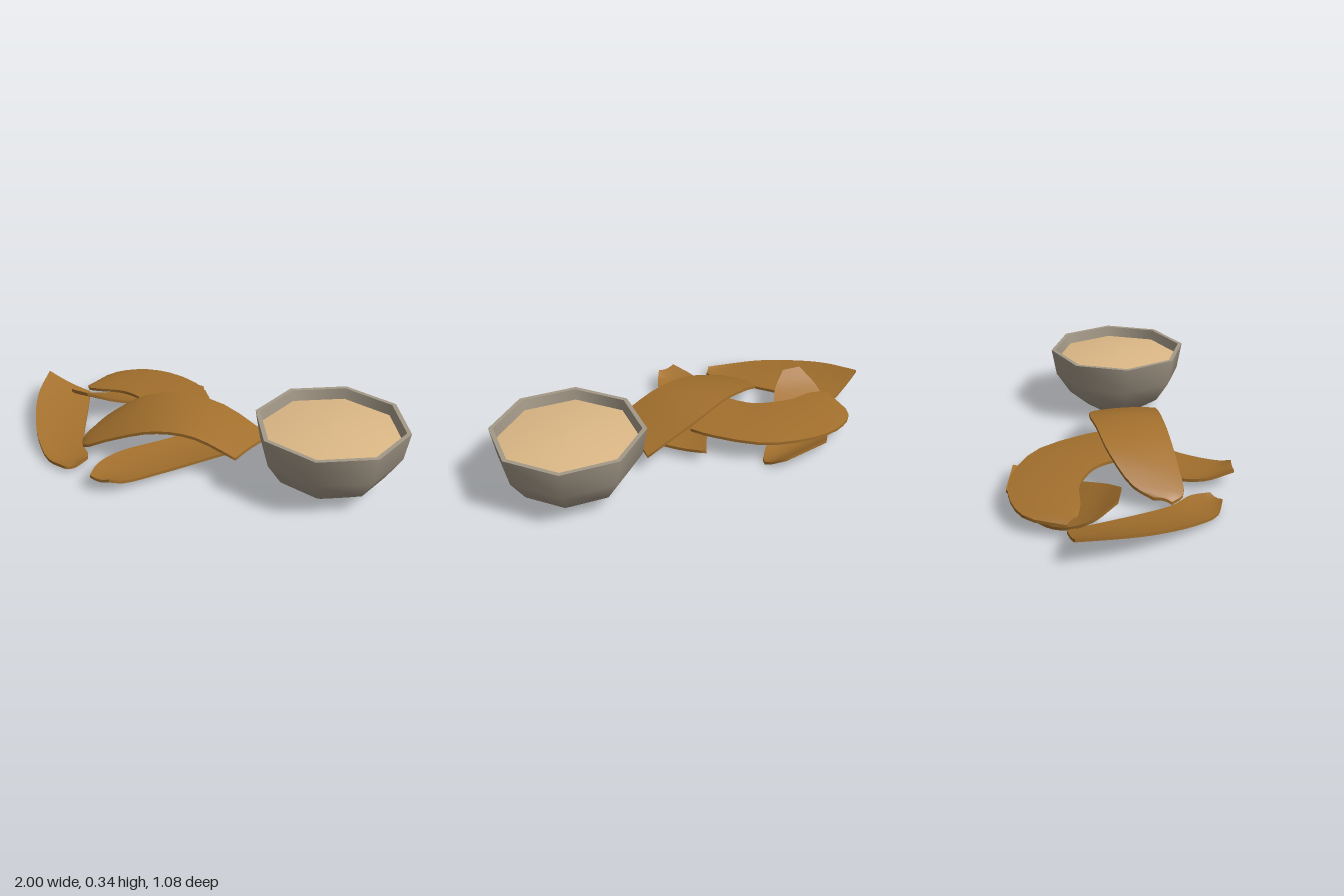
import * as THREE from 'three';
import { mergeGeometries } from 'three/addons/utils/BufferGeometryUtils.js';

const chipMat = new THREE.MeshStandardMaterial({ name: 'toasted brown', color: 0xa3702d });
const bowlMat = new THREE.MeshStandardMaterial({ name: 'stoneware grey', color: 0xa49988 });
const dipMat = new THREE.MeshStandardMaterial({ name: 'creamy tan', color: 0xdcb886 });

// Indexed smooth surface from a grid of points
function gridSurface(grid) {
  const cols = grid[0].length, pos = [], index = [];
  grid.forEach(row => row.forEach(p => pos.push(p.x, p.y, p.z)));
  for (let i = 0; i < grid.length - 1; i++) {
    for (let j = 0; j < cols - 1; j++) {
      const a = i * cols + j, b = a + cols;
      index.push(a, b, b + 1, a, b + 1, a + 1);
    }
  }
  const geo = new THREE.BufferGeometry();
  geo.setAttribute('position', new THREE.Float32BufferAttribute(pos, 3));
  geo.setIndex(index);
  geo.computeVertexNormals();
  return geo;
}

// Thin curved chip lofted between two edges; each row is x,y,z of edge one, then edge two.
// bow lifts (or sinks) the middle of every cross-section.
function chip(name, rows, bow) {
  const along = 16, across = 6, thick = 0.015;
  const edge = k => new THREE.CatmullRomCurve3(rows.map(r => new THREE.Vector3(r[k], r[k + 1], r[k + 2])));
  const one = edge(0), two = edge(3), top = [];
  for (let i = 0; i <= along; i++) {
    const a = one.getPoint(i / along), b = two.getPoint(i / along), row = [];
    for (let j = 0; j <= across; j++) {
      const t = j / across, p = a.clone().lerp(b, t);
      p.y += bow * 4 * t * (1 - t);
      row.push(p);
    }
    top.push(row);
  }
  const down = p => new THREE.Vector3(p.x, Math.max(0, p.y - thick), p.z);
  const bottom = top.map(r => r.map(down).reverse());
  // Outline loop for the rim wall
  const loop = [
    ...top.map(r => r[0]), ...top[along].slice(1),
    ...top.slice(0, along).reverse().map(r => r[across]),
    ...top[0].slice(0, across).reverse(),
  ];
  const rim = gridSurface([loop, loop.map(down)]);
  const mesh = new THREE.Mesh(mergeGeometries([gridSurface(top), gridSurface(bottom), rim]), chipMat);
  mesh.name = name;
  return mesh;
}

function lathe(name, points, material) {
  const geo = new THREE.LatheGeometry(points.map(p => new THREE.Vector2(...p)), 8);
  const mesh = new THREE.Mesh(geo, material);
  mesh.name = name;
  return mesh;
}

export function createModel() {
  const model = new THREE.Group();
  model.name = 'chipsAndDip';

  // Eight-sided bowl filled with dip
  const bowl = new THREE.Group();
  bowl.name = 'bowl';
  bowl.position.set(0.638, 0, 0.133);
  bowl.add(
    lathe('bowlOutside', [[0, 0.006], [0.14, 0.006], [0.265, 0.09], [0.337, 0.2], [0.362, 0.34]], bowlMat),
    lathe('bowlRim', [[0.362, 0.34], [0.34, 0.34]], bowlMat),
    lathe('bowlInside', [[0.34, 0.34], [0.328, 0.27]], bowlMat),
    lathe('dip', [[0.332, 0.287], [0.22, 0.303], [0.1, 0.313], [0, 0.316]], dipMat),
  );
  model.add(bowl);

  // Pile of chips, each with one rounded and one cut end
  model.add(
    chip('topChip', [
      [-0.60, 0.05, 0.19, -0.585, 0.07, 0.11],
      [-0.56, 0.065, 0.25, -0.53, 0.115, 0.02],
      [-0.42, 0.13, 0.255, -0.36, 0.21, -0.065],
      [-0.20, 0.206, 0.25, -0.18, 0.242, -0.09],
      [0.0, 0.214, 0.25, 0.04, 0.215, -0.1],
      [0.22, 0.148, 0.27, 0.31, 0.11, -0.04],
    ], 0.01),
    chip('backChip', [
      [-0.75, 0.10, -0.25, -0.78, 0.08, -0.30],
      [-0.68, 0.115, -0.23, -0.70, 0.09, -0.47],
      [-0.55, 0.13, -0.22, -0.56, 0.105, -0.53],
      [-0.45, 0.138, -0.18, -0.38, 0.118, -0.515],
      [-0.37, 0.138, -0.12, -0.15, 0.128, -0.385],
      [-0.33, 0.138, -0.05, -0.01, 0.128, -0.14],
      [-0.31, 0.138, 0.01, 0.02, 0.128, -0.04],
    ], 0.008),
    chip('tiltedChip', [
      [-0.67, 0.183, -0.05, -0.77, 0.175, -0.08],
      [-0.55, 0.14, -0.10, -0.785, 0.10, -0.19],
      [-0.43, 0.095, -0.19, -0.74, 0.045, -0.30],
      [-0.28, 0.04, -0.29, -0.64, 0.02, -0.40],
      [-0.14, 0.022, -0.39, -0.52, 0.045, -0.48],
      [-0.18, 0.075, -0.495, -0.43, 0.082, -0.54],
    ], 0),
    chip('leftChip', [
      [-1.0, 0.145, -0.29, -0.77, 0.05, -0.30],
      [-0.97, 0.125, -0.1, -0.71, 0.04, -0.13],
      [-0.92, 0.10, 0.05, -0.65, 0.033, 0.05],
      [-0.82, 0.065, 0.24, -0.59, 0.03, 0.20],
      [-0.70, 0.035, 0.375, -0.525, 0.035, 0.29],
      [-0.59, 0.042, 0.425, -0.53, 0.047, 0.38],
    ], -0.01),
    chip('frontChip', [
      [-0.31, 0.09, 0.535, -0.41, 0.09, 0.525],
      [-0.26, 0.065, 0.49, -0.43, 0.065, 0.38],
      [-0.12, 0.048, 0.33, -0.38, 0.055, 0.24],
      [0.05, 0.056, 0.17, -0.18, 0.056, 0.04],
      [0.17, 0.073, 0.08, 0.05, 0.078, -0.18],
    ], -0.012),
  );
  return model;
}
